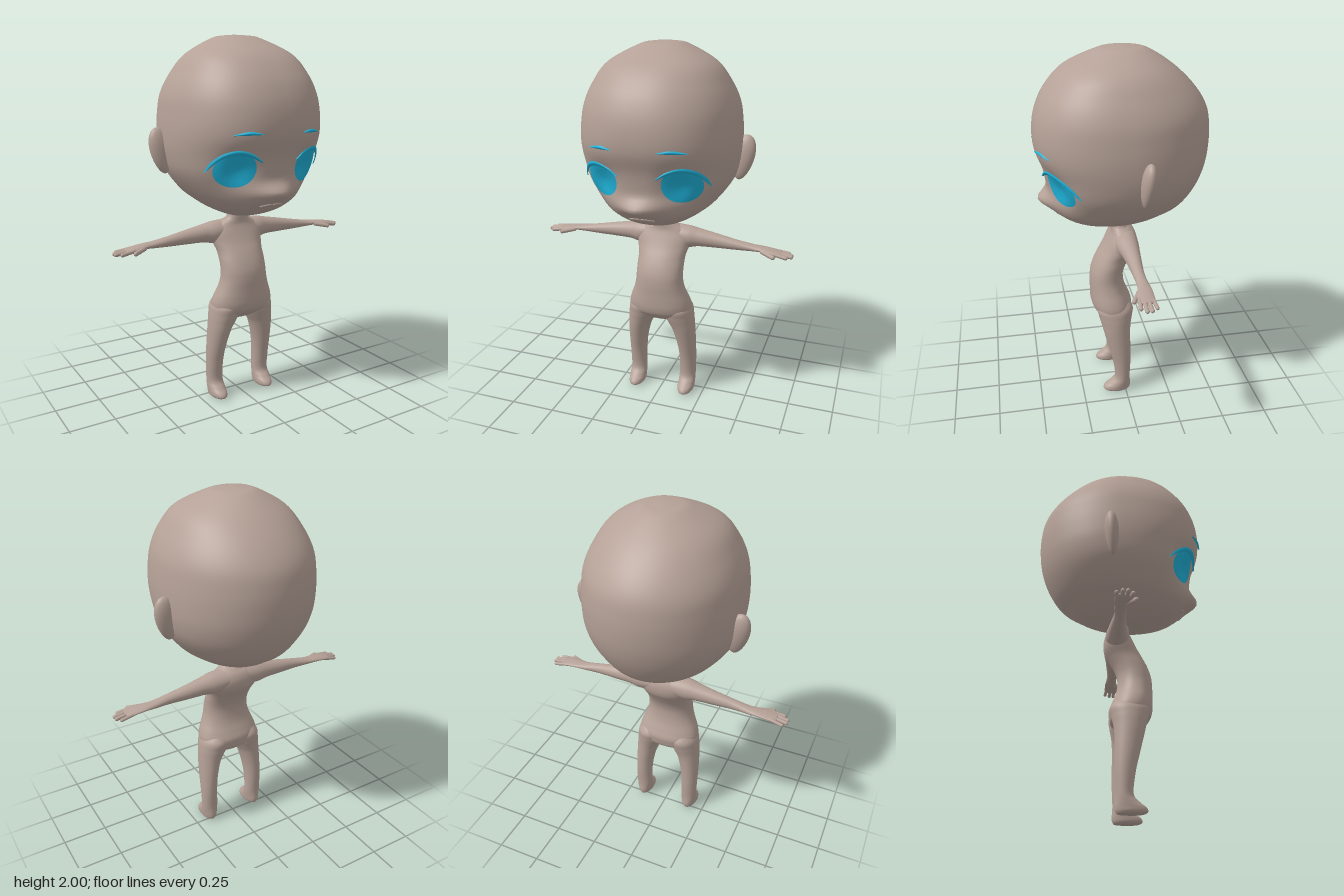
import * as THREE from 'three';
import { mergeVertices, mergeGeometries } from 'three/addons/utils/BufferGeometryUtils.js';

const skin = new THREE.MeshStandardMaterial({ color: 0xb5a197 });
skin.name = 'skin';
const blue = new THREE.MeshStandardMaterial({ color: 0x1fb2d9, side: THREE.DoubleSide });
blue.name = 'blue';

// Smoothly interpolated row of a cross-section table, t in 0..1
function rowAt(rows, t) {
  const f = t * (rows.length - 1), i = Math.min(Math.floor(f), rows.length - 2), w = f - i;
  const at = (k) => rows[Math.max(0, Math.min(rows.length - 1, k))];
  const [a, b, c, d] = [at(i - 1), at(i), at(i + 1), at(i + 2)];
  return b.map((_, k) => {
    const m0 = (c[k] - a[k]) / 2, m1 = (d[k] - b[k]) / 2;
    const w2 = w * w, w3 = w2 * w;
    return (2 * w3 - 3 * w2 + 1) * b[k] + (w3 - 2 * w2 + w) * m0 + (3 * w2 - 2 * w3) * c[k] + (w3 - w2) * m1;
  });
}

// Grid of points turned into a smooth indexed surface
function gridSurface(nu, nv, point) {
  const pos = [], index = [];
  for (let i = 0; i <= nu; i++) for (let j = 0; j <= nv; j++) pos.push(...point(i / nu, j / nv));
  for (let i = 0; i < nu; i++) for (let j = 0; j < nv; j++) {
    const a = i * (nv + 1) + j, b = a + nv + 1;
    index.push(a, b, a + 1, b, b + 1, a + 1);
  }
  let g = new THREE.BufferGeometry();
  g.setAttribute('position', new THREE.Float32BufferAttribute(pos, 3));
  g.setIndex(index);
  g = mergeVertices(g, 1e-5);
  g.computeVertexNormals();
  return g;
}

// Loft through rows [s, a0, a1, b0, b1]; map places (s, a, b) in space
function loft(rows, map, p = 2, pFront = p, seg = 48) {
  const spow = (v, e) => Math.sign(v) * Math.abs(v) ** e;
  return gridSurface((rows.length - 1) * 6, seg, (t, v) => {
    const [s, a0, a1, b0, b1] = rowAt(rows, t);
    const ang = (v === 1 ? 0 : v) * Math.PI * 2, c = Math.cos(ang), n = Math.sin(ang);
    const e = 2 / (n >= 0 ? pFront : p);
    return map(s, (a0 + a1) / 2 + (a1 - a0) / 2 * spow(c, e), (b0 + b1) / 2 + (b1 - b0) / 2 * spow(n, e), n);
  });
}

function mirrored(g) {
  const m = g.clone().scale(-1, 1, 1), ix = m.index.array;
  for (let i = 0; i < ix.length; i += 3) [ix[i], ix[i + 1]] = [ix[i + 1], ix[i]];
  m.computeVertexNormals();
  return m;
}

// Head sections from chin to crown: y, half width, back z, front z
const HEAD = [
  [1.045, 0, 0.04, 0.04], [1.06, 0.09, -0.07, 0.16], [1.1, 0.18, -0.2, 0.28], [1.15, 0.255, -0.285, 0.35],
  [1.2, 0.31, -0.35, 0.375], [1.3, 0.38, -0.41, 0.4], [1.4, 0.41, -0.445, 0.42], [1.5, 0.418, -0.46, 0.455],
  [1.6, 0.412, -0.46, 0.46], [1.7, 0.395, -0.44, 0.44], [1.8, 0.35, -0.375, 0.39], [1.9, 0.275, -0.27, 0.295],
  [1.98, 0.13, -0.145, 0.13], [1.995, 0.065, -0.075, 0.055], [2, 0, -0.01, -0.01],
];
const FACE_POWER = 2.3;

// Muzzle bump and eye sockets
const faceRelief = (x, y) =>
  0.07 * Math.exp(-((x / 0.11) ** 2) - ((y - 1.215) / 0.045) ** 2)
  - 0.04 * Math.exp(-(((Math.abs(x) - 0.2) / 0.08) ** 2) - ((y - 1.33) / 0.08) ** 2);

// Depth of the face surface at (x, y)
function faceZ(x, y) {
  let lo = 0, hi = 1;
  for (let i = 0; i < 30; i++) {
    const mid = (lo + hi) / 2;
    if (rowAt(HEAD, mid)[0] < y) lo = mid; else hi = mid;
  }
  const [, hx, zb, zf] = rowAt(HEAD, lo);
  const u = Math.min(1, Math.abs(x) / hx);
  return (zb + zf) / 2 + (zf - zb) / 2 * (1 - u ** FACE_POWER) ** (1 / FACE_POWER) + faceRelief(x, y);
}

// Thin strip on the face between a lower and an upper curve
function faceStrip(lower, upper, lift) {
  const curve = (pts) => new THREE.CatmullRomCurve3(pts.map(([x, y]) => new THREE.Vector3(x, y, 0)));
  const lo = curve(lower), up = curve(upper);
  return gridSurface(28, 6, (u, v) => {
    const q = lo.getPoint(u).lerp(up.getPoint(u), v);
    return [q.x, q.y, faceZ(q.x, q.y) + lift + 0.008 * Math.sin(Math.PI * v)];
  });
}

// Rounded finger between two points
function finger(from, to, r) {
  const a = new THREE.Vector3(...from), b = new THREE.Vector3(...to), d = b.clone().sub(a);
  const g = new THREE.CapsuleGeometry(r, d.length() - r, 6, 12);
  g.applyQuaternion(new THREE.Quaternion().setFromUnitVectors(new THREE.Vector3(0, 1, 0), d.normalize()));
  return g.translate(...a.add(b).multiplyScalar(0.5).toArray());
}

export function createModel() {
  const root = new THREE.Group();
  root.name = 'figure';
  const add = (name, g, mat) => {
    const m = new THREE.Mesh(g, mat);
    m.name = name;
    root.add(m);
  };
  const pair = (name, g, mat) => {
    add('left' + name, g, mat);
    add('right' + name, mirrored(g), mat);
  };
  const upright = (s, a, b) => [a, s, b];

  // Head
  add('head', loft(HEAD.map(([y, h, zb, zf]) => [y, -h, h, zb, zf]),
    (y, x, z, n) => [x, y, z + (n > 0 ? faceRelief(x, y) * Math.min(1, n * 3) : 0)], 2, FACE_POWER, 96), skin);

  // Ears, narrower at the lobe and leaning outward
  const ear = new THREE.SphereGeometry(1, 32, 24);
  const ep = ear.attributes.position;
  for (let i = 0; i < ep.count; i++) {
    const k = 0.88 + 0.14 * ep.getY(i);
    ep.setXYZ(i, ep.getX(i) * 0.066 * k, ep.getY(i) * 0.122, ep.getZ(i) * 0.042 * k);
  }
  ear.rotateZ(-0.18).rotateX(-0.08).translate(0.418, 1.41, -0.06);
  ear.computeVertexNormals();
  pair('Ear', ear, skin);

  // Eyes, lashes, brows
  pair('Eye', gridSurface(10, 40, (r, v) => {
    const a = (v === 1 ? 0 : v) * Math.PI * 2;
    const x = 0.21 + 0.094 * r * Math.cos(a), y = 1.342 + 0.09 * r * Math.sin(a);
    return [x, y, faceZ(x, y) + 0.006 + 0.008 * (1 - r * r)];
  }), blue);
  pair('Lash', faceStrip(
    [[0.1, 1.378], [0.15, 1.402], [0.22, 1.417], [0.28, 1.397], [0.31, 1.365], [0.335, 1.325]],
    [[0.1, 1.386], [0.15, 1.422], [0.22, 1.441], [0.28, 1.424], [0.32, 1.38], [0.336, 1.33]], 0.016), blue);
  pair('Brow', faceStrip(
    [[0.116, 1.516], [0.18, 1.514], [0.25, 1.512]],
    [[0.116, 1.52], [0.18, 1.532], [0.25, 1.516]], 0.005), blue);

  // Lips
  const lip = [-0.065, -0.035, -0.012, 0, 0.012, 0.035, 0.065].map((x, i) => {
    const y = 1.145 + [0, 0.008, 0.011, 0.007, 0.011, 0.008, 0][i];
    return new THREE.Vector3(x, y, faceZ(x, y) + 0.001);
  });
  add('lips', new THREE.TubeGeometry(new THREE.CatmullRomCurve3(lip), 32, 0.006, 8), skin);

  // Torso with neck
  add('torso', loft([
    [0.455, 0, 0, 0.04, 0.04], [0.46, -0.06, 0.06, 0, 0.08], [0.48, -0.13, 0.13, -0.025, 0.115],
    [0.5, -0.165, 0.165, -0.045, 0.143], [0.525, -0.178, 0.178, -0.052, 0.166], [0.56, -0.18, 0.18, -0.055, 0.176],
    [0.6, -0.17, 0.17, -0.04, 0.178], [0.65, -0.15, 0.15, -0.02, 0.178], [0.7, -0.136, 0.136, -0.01, 0.178],
    [0.75, -0.132, 0.132, -0.01, 0.172], [0.8, -0.132, 0.132, -0.025, 0.155], [0.85, -0.134, 0.134, -0.052, 0.13],
    [0.9, -0.148, 0.148, -0.08, 0.1], [0.95, -0.158, 0.158, -0.086, 0.075], [0.99, -0.13, 0.13, -0.074, 0.058],
    [1.015, -0.085, 0.085, -0.05, 0.055], [1.035, -0.06, 0.06, -0.03, 0.055], [1.09, -0.05, 0.05, -0.03, 0.05],
  ], upright, 2.2), skin);

  // Legs with feet
  pair('Leg', loft([
    [0, 0.15, 0.15, 0.05, 0.05], [0.002, 0.122, 0.182, -0.012, 0.105], [0.014, 0.108, 0.196, -0.026, 0.13],
    [0.035, 0.105, 0.199, -0.03, 0.124], [0.06, 0.105, 0.2, -0.028, 0.092], [0.1, 0.105, 0.2, -0.026, 0.062],
    [0.2, 0.105, 0.202, -0.03, 0.072], [0.3, 0.095, 0.202, -0.03, 0.095], [0.4, 0.07, 0.199, -0.031, 0.12],
    [0.45, 0.045, 0.196, -0.036, 0.132], [0.5, 0.022, 0.191, -0.046, 0.145], [0.55, 0.02, 0.18, -0.05, 0.15],
    [0.6, 0.05, 0.14, -0.01, 0.1],
  ], upright), skin);

  // Arms reaching out to the palms
  pair('Arm', loft([
    [0.06, -0.08, 0.05, 0.9, 1.015], [0.14, -0.076, 0.048, 0.888, 1.01], [0.2, -0.068, 0.034, 0.898, 0.998],
    [0.3, -0.058, 0.02, 0.9, 0.979], [0.41, -0.048, 0.012, 0.902, 0.958], [0.5, -0.052, 0.01, 0.905, 0.942],
    [0.55, -0.056, 0.018, 0.908, 0.937], [0.6, -0.056, 0.03, 0.905, 0.931], [0.64, -0.054, 0.03, 0.901, 0.924],
    [0.655, -0.045, 0.02, 0.905, 0.92], [0.658, -0.012, -0.012, 0.912, 0.912],
  ], (s, a, b) => [s, b, a]), skin);

  // Fingers and thumb
  pair('Fingers', mergeGeometries([
    finger([0.61, 0.916, -0.043], [0.696, 0.903, -0.051], 0.0095),
    finger([0.61, 0.917, -0.02], [0.714, 0.902, -0.023], 0.0105),
    finger([0.61, 0.917, 0.002], [0.715, 0.902, 0.002], 0.0105),
    finger([0.61, 0.916, 0.02], [0.69, 0.903, 0.028], 0.0105),
    finger([0.55, 0.918, 0.008], [0.625, 0.905, 0.05], 0.012),
  ]), skin);
  return root;
}
